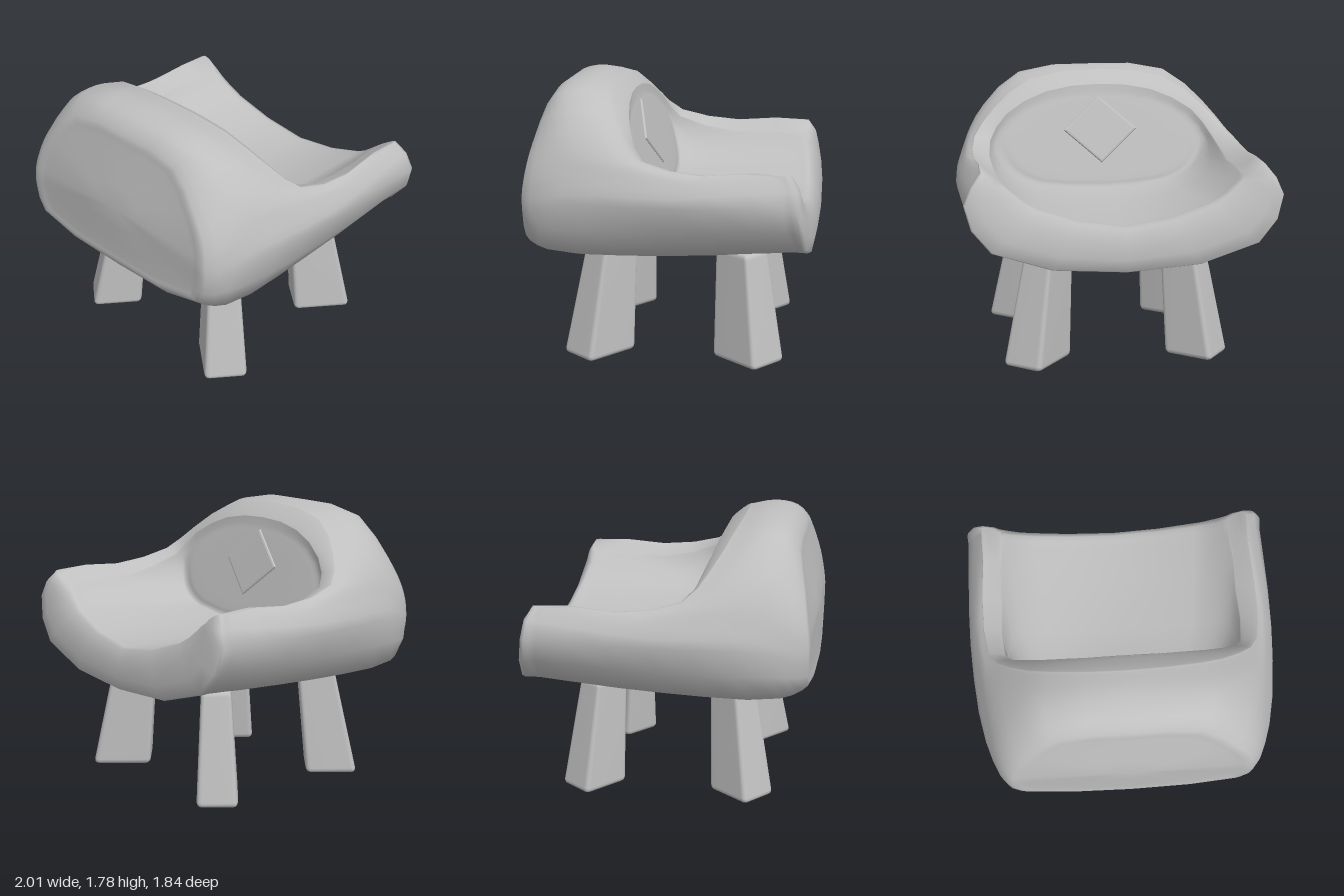
import * as THREE from 'three';
import { mergeVertices } from 'three/addons/utils/BufferGeometryUtils.js';
import { RoundedBoxGeometry } from 'three/addons/geometries/RoundedBoxGeometry.js';

// Half rings of the shell, each running from top centre down the +x side to bottom centre.
const faceEdge = [[0, 1.67, .8], [.45, 1.63, .8], [.66, 1.42, .845], [.74, 1.3, .865], [.78, 1.19, .88],
  [.79, 1.1, .89], [.79, 1, .89], [.72, .83, .89], [0, .79, .915]];
const outerFront = [[0, 1.75, .72], [.5, 1.71, .71], [.75, 1.5, .66], [.84, 1.37, .62], [.88, 1.27, .61],
  [.9, 1.2, .61], [.92, 1.09, .62], [.81, .77, .73], [0, .65, .74]];
const outerMiddle = [[0, 1.785, .56], [.51, 1.735, .56], [.77, 1.52, .42], [.89, 1.36, .25], [.94, 1.28, -.02],
  [.97, 1.22, -.05], [1, 1.11, -.05], [.83, .77, 0], [0, .62, .1]];
const rim = [[0, 1.765, .42], [.46, 1.71, .38], [.72, 1.53, .27], [.86, 1.37, .12], [.89, 1.3, -.3],
  [.88, 1.315, -.8], [.99, 1.13, -.86], [.83, .84, -.9], [0, .69, -.91]];
const innerRim = [[0, 1.68, .3], [.36, 1.64, .28], [.64, 1.5, .22], [.76, 1.34, .12], [.78, 1.24, -.3],
  [.77, 1.25, -.79], [.71, 1.19, -.82], [.56, 1.08, -.85], [0, .945, -.88]];
// Outline of the flat inner face; its points lie on one leaning plane
const backrestEdge = [[0, 1.62], [.37, 1.58], [.61, 1.46], [.72, 1.31], [.69, 1.2],
  [.63, 1.12], [.55, 1.07], [.43, 1.03], [0, 1]].map(([x, y]) => [x, y, .065 + (y - 1) * .355]);

const blend = (a, b, t) => a.map((p, i) => p.map((v, k) => v + (b[i][k] - v) * t));

// Mirror a half ring and return evenly subdivided points round the closed loop
function fullRing(half, steps) {
  const pts = half.map(p => new THREE.Vector3(...p));
  for (let i = half.length - 2; i > 0; i--) pts.push(new THREE.Vector3(-half[i][0], half[i][1], half[i][2]));
  const curve = new THREE.CatmullRomCurve3(pts, true, 'centripetal');
  return Array.from({ length: pts.length * steps }, (_, i) => curve.getPoint(i / (pts.length * steps)));
}

// Skin the rings from the outside of the backrest, round the rim, to its inside
function shellGeometry() {
  const start = [0, 1.2, .918], end = [0, 1.36, .193];
  const rings = [blend(faceEdge, faceEdge.map(() => start), .15), faceEdge, outerFront, outerMiddle,
    blend(outerMiddle, rim, .88), rim, innerRim, blend(innerRim, backrestEdge, .12), backrestEdge,
    blend(backrestEdge, backrestEdge.map(() => end), .15)].map(r => fullRing(r, 2));
  const n = rings[0].length, rows = (rings.length + 1) * 3;
  const pos = [...start], index = [];
  const paths = rings[0].map((_, i) => new THREE.CatmullRomCurve3(
    [new THREE.Vector3(...start), ...rings.map(r => r[i]), new THREE.Vector3(...end)], false, 'centripetal'));
  for (let s = 1; s < rows; s++) for (const p of paths) pos.push(...p.getPoint(s / rows).toArray());
  pos.push(...end);
  const last = pos.length / 3 - 1;
  const id = (s, i) => s === 0 ? 0 : s === rows ? last : 1 + (s - 1) * n + i % n;
  for (let s = 0; s < rows; s++) for (let i = 0; i < n; i++) {
    const a = id(s, i), b = id(s, i + 1), c = id(s + 1, i), d = id(s + 1, i + 1);
    if (c !== d) index.push(a, d, c);
    if (a !== b) index.push(a, b, d);
  }
  const g = new THREE.BufferGeometry();
  g.setAttribute('position', new THREE.Float32BufferAttribute(pos, 3));
  g.setIndex(index);
  g.computeVertexNormals();
  return g;
}

// Tapered, splayed leg with softened edges, turned about its own axis
function legGeometry(width, depth, turn, foot, top) {
  const h = .72;
  let g = new RoundedBoxGeometry(width, h, depth, 2, .035);
  g.translate(0, h / 2, 0);
  const p = g.attributes.position;
  const v = new THREE.Vector3(), up = new THREE.Vector3(0, 1, 0);
  for (let i = 0; i < p.count; i++) {
    v.fromBufferAttribute(p, i);
    const t = v.y / h, k = 1 - .28 * t;
    v.x *= k;
    v.z *= k;
    v.applyAxisAngle(up, turn);
    p.setXYZ(i, v.x + foot[0] + (top[0] - foot[0]) * t, v.y, v.z + foot[1] + (top[1] - foot[1]) * t);
  }
  g.deleteAttribute('normal');
  g.deleteAttribute('uv');
  g = mergeVertices(g, 1e-4);
  g.computeVertexNormals();
  return g;
}

export function createModel() {
  const model = new THREE.Group();
  model.name = 'chair';
  const grey = new THREE.MeshStandardMaterial({ color: 0xbfbfbf });
  grey.name = 'grey';
  const add = (name, geometry) => {
    const mesh = new THREE.Mesh(geometry, grey);
    mesh.name = name;
    model.add(mesh);
    return mesh;
  };

  add('seatShell', shellGeometry());

  // Four legs, the longer side of each pointing outwards from the centre
  for (const side of [1, -1]) for (const end of [1, -1]) {
    const foot = [side * .527, end > 0 ? .465 : -.52];
    const top = [side * .44, end > 0 ? .39 : -.46];
    const long = side > 0 ? .39 : .34, short = side > 0 ? .285 : .265;
    const outwardX = side === end;
    add((end > 0 ? 'front' : 'rear') + (side > 0 ? 'Left' : 'Right') + 'Leg',
      legGeometry(outwardX ? long : short, outwardX ? short : long, -.68, foot, top));
  }

  // Diamond pad on the inner face of the backrest
  const diamond = new THREE.Shape([[.23, 0], [0, .21], [-.23, 0], [0, -.21]].map(p => new THREE.Vector2(...p)));
  const pad = add('backrestPad', new THREE.ExtrudeGeometry(diamond, {
    depth: .008, bevelEnabled: true, bevelThickness: .01, bevelSize: .015, bevelSegments: 2 }));
  pad.rotation.set(.341, Math.PI, 0);
  pad.position.set(0, 1.38, .207);

  return model;
}
